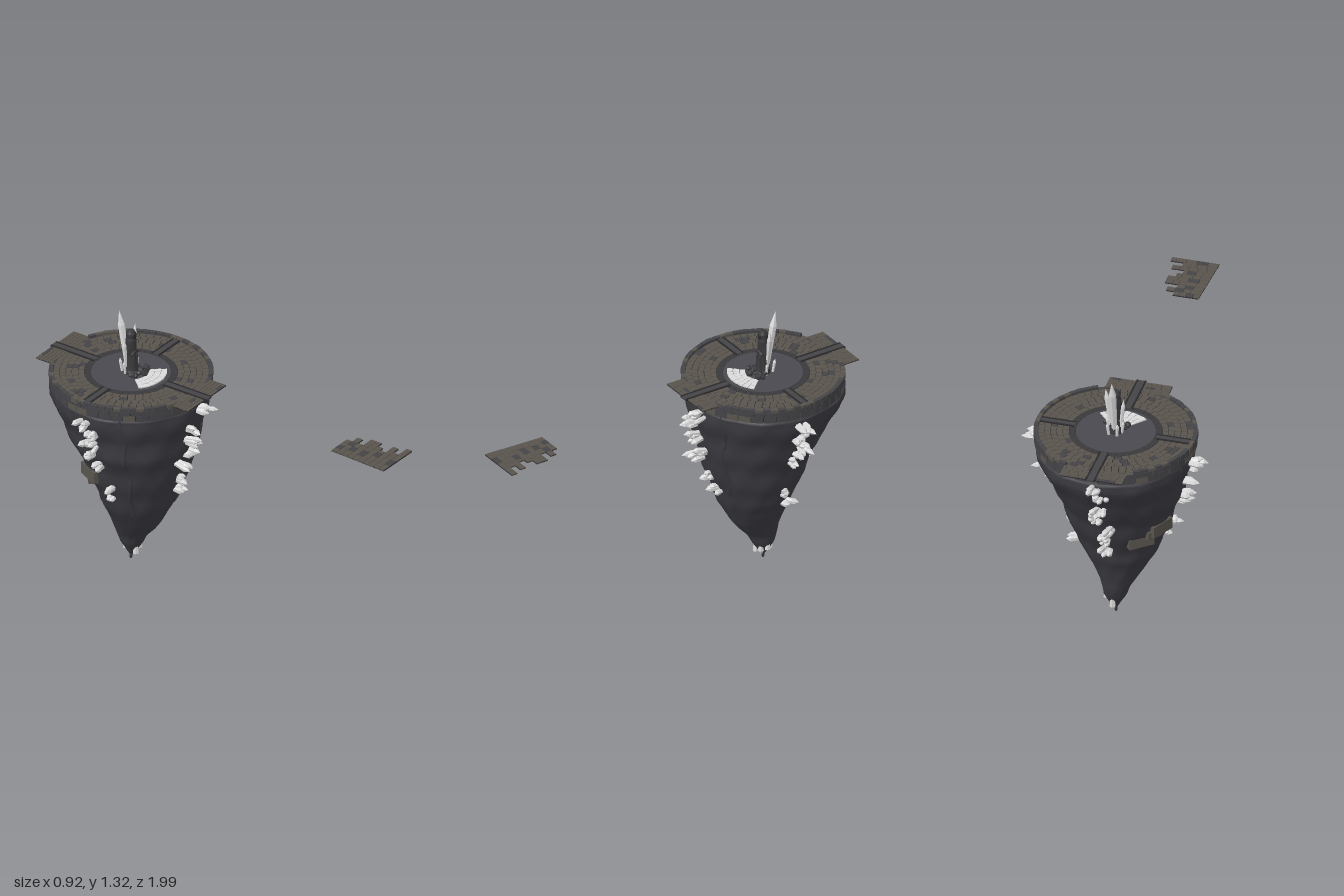
import * as THREE from 'three';
import { mergeGeometries, mergeVertices } from 'three/addons/utils/BufferGeometryUtils.js';

const mat = (name, color) => {
  const m = new THREE.MeshStandardMaterial({ color });
  m.name = name;
  return m;
};
const CX = -0.013, CZ = -0.52; // axis of the platform

export function createModel() {
  const root = new THREE.Group();
  root.name = 'floatingIsland';
  const M = {
    rock: mat('dark rock', 0x3b3a40),
    brown: mat('brown brick', 0x59544d),
    grey: mat('grey brick', 0x444347),
    mortar: mat('dark mortar', 0x2a2a2c),
    floor: mat('slate floor', 0x4a494f),
    crystal: mat('pale crystal', 0xdadada),
    statue: mat('statue stone', 0x3a3a3c),
  };
  let seed = 7;
  const rnd = (a = 0, b = 1) => {
    seed = (seed * 16807) % 2147483647;
    return a + (b - a) * (seed / 2147483647);
  };
  const add = (name, geo, m, parent = root) => {
    const mesh = new THREE.Mesh(geo, m);
    mesh.name = name;
    parent.add(mesh);
    return mesh;
  };
  const flat = (g) => {
    const n = g.index ? g.toNonIndexed() : g;
    n.computeVertexNormals();
    return n;
  };

  // collects many small pieces into one mesh per colour
  const pile = (name) => {
    const sets = {};
    return {
      put(key, g) { (sets[key] ??= []).push(flat(g)); },
      done() {
        const group = new THREE.Group();
        group.name = name;
        for (const k in sets) add(name + '_' + k, mergeGeometries(sets[k]), M[k], group);
        root.add(group);
      },
    };
  };

  // ---- tapering rock: y, centre x, radius x, centre z, radius z
  const rows = [
    [0.962, -0.01, 0.34, -0.52, 0.34], [0.948, -0.008, 0.38, -0.525, 0.384], [0.9, -0.01, 0.369, -0.525, 0.378],
    [0.8, -0.014, 0.336, -0.51, 0.34], [0.7, -0.024, 0.309, -0.49, 0.298], [0.6, -0.022, 0.268, -0.477, 0.265],
    [0.5, -0.02, 0.24, -0.475, 0.227], [0.4, -0.02, 0.2, -0.467, 0.187], [0.35, -0.025, 0.175, -0.472, 0.172],
    [0.3, -0.022, 0.152, -0.475, 0.15], [0.25, -0.022, 0.122, -0.48, 0.13], [0.2, -0.02, 0.092, -0.492, 0.103],
    [0.15, -0.014, 0.067, -0.512, 0.077], [0.1, -0.01, 0.056, -0.516, 0.056], [0.06, -0.01, 0.029, -0.518, 0.032],
    [0.03, -0.012, 0.01, -0.52, 0.01],
  ];
  const surface = (a, y, out = 0) => {
    let i = 0;
    while (i < rows.length - 2 && y < rows[i + 1][0]) i++;
    const [p, q] = [rows[i], rows[i + 1]];
    const t = (p[0] - y) / (p[0] - q[0]);
    const [, cx, rx, cz, rz] = p.map((v, k) => v + (q[k] - v) * t);
    const bump = 1 + 0.01 * Math.sin(a * 5 + y * 9) + 0.008 * Math.sin(a * 11 - y * 23)
      + 0.012 * Math.cos((y - 0.7) * 37) + 0.006 * Math.sin(a * 23 + y * 57);
    return new THREE.Vector3(cx + (rx * bump + out) * Math.sin(a), y, cz + (rz * bump + out) * Math.cos(a));
  };
  let rock = new THREE.PlaneGeometry(1, 1, 72, 64);
  const uv = rock.attributes.uv, pos = rock.attributes.position;
  for (let i = 0; i < pos.count; i++) {
    const p = surface((uv.getX(i) % 1) * Math.PI * 2, 0.03 + uv.getY(i) * 0.932);
    pos.setXYZ(i, p.x, p.y, p.z);
  }
  rock.deleteAttribute('uv');
  rock.deleteAttribute('normal');
  rock = mergeVertices(rock, 1e-5);
  rock.computeVertexNormals();
  add('rockBody', rock, M.rock);

  // raised seams running down the rock
  for (const [deg, low] of [[25, 0.32], [-62, 0.32], [-105, 0.8]]) {
    const pts = [];
    for (let y = 0.95; y > low; y -= 0.05) {
      pts.push(surface(THREE.MathUtils.degToRad(deg + 1.5 * Math.sin(y * 25)), y, -0.008));
    }
    add('rockSeam', new THREE.TubeGeometry(new THREE.CatmullRomCurve3(pts), 40, 0.014, 6), M.rock);
  }
  // hanging tip
  const tip = new THREE.SphereGeometry(0.008, 8, 8).scale(1, 2.4, 1).translate(-0.014, 0.02, CZ);
  add('hangingTip', tip, M.rock);

  // ---- platform of curved blocks
  const arcBlock = (r0, r1, a0, a1, y0, y1, steps = 2) => {
    const s = new THREE.Shape();
    const pt = (r, a) => new THREE.Vector2(r * Math.sin(a), -r * Math.cos(a));
    const list = [];
    for (let i = 0; i <= steps; i++) list.push(pt(r1, a0 + (a1 - a0) * i / steps));
    for (let i = steps; i >= 0; i--) list.push(pt(r0, a0 + (a1 - a0) * i / steps));
    s.setFromPoints(list);
    return new THREE.ExtrudeGeometry(s, { depth: y1 - y0, bevelEnabled: false })
      .rotateX(-Math.PI / 2).translate(CX, y0, CZ);
  };
  const box = (x0, x1, y0, y1, z0, z1) => new THREE.BoxGeometry(x1 - x0, y1 - y0, z1 - z0)
    .translate((x0 + x1) / 2, (y0 + y1) / 2, (z0 + z1) / 2);
  add('platformCore', new THREE.CylinderGeometry(0.38, 0.376, 0.054, 64).translate(CX, 0.981, CZ), M.mortar);
  add('innerFloor', new THREE.CylinderGeometry(0.189, 0.189, 0.008, 48).translate(CX, 1.008, CZ), M.floor);

  const paving = pile('paving');
  const ring = (set, r0, r1, n, y0, y1, key, gap = 0.002) => {
    const off = rnd(), da = Math.PI * 2 / n, g = gap / r1;
    for (let i = 0; i < n; i++) {
      const a = (i + off) * da;
      set.put(key(), arcBlock(r0, r1 + rnd(-0.001, 0.001), a + g, a + da - g, y0, y1));
    }
  };
  const mixed = (p) => () => (rnd() < p ? 'brown' : 'grey');
  ring(paving, 0.19, 0.22, 44, 1.0, 1.012, () => 'statue', 0.001);
  for (let k = 0; k < 5; k++) {
    const r = 0.222 + k * 0.029;
    ring(paving, r, r + 0.027, 40 + k * 6, 1.0, 1.012, mixed(0.9));
  }
  // rim, left lower where the bridges meet it
  for (let i = 0; i < 64; i++) {
    const a = i * Math.PI / 32, low = Math.abs(Math.sin(a)) < 0.42;
    paving.put(rnd() < 0.4 ? 'brown' : 'grey',
      arcBlock(0.367, 0.385 + rnd(0, 0.004), a + 0.004, a + Math.PI / 32 - 0.004, 1.0, low ? 1.012 : 1.024));
  }
  paving.done();

  const wall = pile('platformWall');
  ring(wall, 0.36, 0.388, 48, 0.988, 1.011, mixed(0));
  ring(wall, 0.34, 0.385, 40, 0.955, 0.986, mixed(0.15));
  wall.done();

  // crossing channels with edge strips
  const channels = pile('channels');
  for (const s of [-1, 1]) {
    const z0 = CZ + s * 0.2, z1 = CZ + s * 0.45;
    const x0 = CX + s * 0.2, x1 = CX + s * 0.387;
    channels.put('grey', box(CX - 0.022, CX + 0.022, 1.006, 1.015, Math.min(z0, z1), Math.max(z0, z1)));
    channels.put('grey', box(Math.min(x0, x1), Math.max(x0, x1), 1.005, 1.015, CZ - 0.02, CZ + 0.02));
    for (const e of [-1, 1]) {
      const xe = CX + e * 0.02, ze = CZ + e * 0.018;
      channels.put('mortar', box(xe - 0.004, xe + 0.004, 1.006, 1.017, Math.min(z0, z1), Math.max(z0, z1)));
      channels.put('mortar', box(Math.min(x0, x1), Math.max(x0, x1), 1.005, 1.017, ze - 0.004, ze + 0.004));
    }
  }
  channels.done();

  // ---- bridge stubs and the detached bridge end
  const bridge = pile('bridge');
  const brickRow = (x0, x1, z0, z1) => {
    for (let x = x0; x < x1 - 0.004;) {
      let e = Math.min(x + rnd(0.03, 0.055), x1);
      if (x1 - e < 0.015) e = x1;
      bridge.put(rnd() < 0.9 ? 'brown' : 'grey', box(x + 0.001, e - 0.001, 1.008, 1.014, z0 + 0.001, z1 - 0.001));
      x = e;
    }
    bridge.put('mortar', box(x0 + 0.001, x1 - 0.001, 1.007, 1.011, z0, z1));
  };
  for (const s of [-1, 1]) {
    for (let k = 0; k < 5; k++) {
      const z = CZ + s * (0.3605 + k * 0.018);
      brickRow(-0.168, 0.14, z - 0.009, z + 0.009);
    }
  }
  const ends = [0.05, 0.092, 0.05, 0.115, 0.115, 0.08, 0.055, 0.118, 0.075, 0.14];
  ends.forEach((x, i) => brickRow(-0.078 - i * 0.0015, x, 0.686 + i * 0.0314, 0.686 + (i + 1) * 0.0314));
  bridge.done();

  // ---- crystals
  const up = new THREE.Vector3(0, 1, 0);
  const crystals = pile('crystals');
  const crystal = (base, dir, len, rad) => {
    const g = new THREE.LatheGeometry([[0, 0], [0.8, 0], [1, 0.75], [0, 1]].map((p) => new THREE.Vector2(...p)), 6);
    g.scale(rad, len, rad).applyQuaternion(new THREE.Quaternion().setFromUnitVectors(up, dir.clone().normalize()));
    crystals.put('crystal', g.translate(base.x, base.y, base.z));
  };
  const cluster = (a, y, len) => {
    const out = new THREE.Vector3(Math.sin(a), 0, Math.cos(a));
    for (let i = 0; i < 5; i++) {
      const base = surface(a + rnd(-0.018, 0.018) / 0.25, y + rnd(-0.014, 0.014), -0.02);
      const dir = out.clone().add(new THREE.Vector3(rnd(-0.25, 0.25), rnd(-0.15, 0.25), rnd(-0.25, 0.25)));
      crystal(base, dir, (len + 0.025) * (i ? rnd(0.6, 0.9) : 1), rnd(0.012, 0.018));
    }
  };
  // each column: angle, then height, length, sideways shift in radians
  const columns = [
    [0, [[0.92, 0.08, 0.09], [0.84, 0.08, -0.08], [0.76, 0.09, -0.05], [0.685, 0.07, 0.04], [0.64, 0.09, -0.15], [0.535, 0.06, 0.02], [0.465, 0.07, 0.07]]],
    [Math.PI / 2, [[0.905, 0.09, -0.1], [0.83, 0.06, -0.05], [0.775, 0.09, 0], [0.72, 0.07, 0.03], [0.68, 0.06, 0], [0.47, 0.03, 0.1], [0.395, 0.06, 0.3]]],
    [Math.PI, [[0.92, 0.09, 0], [0.86, 0.05, 0.08], [0.75, 0.09, 0], [0.68, 0.06, -0.1], [0.6, 0.11, 0.1], [0.54, 0.06, 0], [0.45, 0.1, 0]]],
    [-Math.PI / 2, [[0.9, 0.08, 0], [0.85, 0.06, 0.1], [0.78, 0.08, 0], [0.72, 0.07, -0.1], [0.66, 0.08, 0], [0.52, 0.06, 0.1], [0.46, 0.04, 0]]],
  ];
  for (const [a, list] of columns) for (const [y, len, shift] of list) cluster(a + shift, y, len);
  // hanging at the bottom
  for (const [x, y, z, len] of [[0.012, 0.125, -0.49, 0.085], [0.03, 0.115, -0.515, 0.06], [-0.022, 0.09, -0.485, 0.06], [-0.008, 0.105, -0.555, 0.075]]) {
    crystal(new THREE.Vector3(x, y, z), new THREE.Vector3((x - CX) * 0.2, -0.1, 0), len, 0.015);
  }
  // around the statue
  crystal(new THREE.Vector3(-0.012, 1.02, -0.535), new THREE.Vector3(0, 0.3, -0.055), 0.307, 0.018);
  crystal(new THREE.Vector3(0.005, 1.05, -0.53), new THREE.Vector3(0.03, 0.2, 0), 0.2, 0.013);
  crystal(new THREE.Vector3(-0.04, 1.05, -0.53), new THREE.Vector3(-0.015, 0.15, 0), 0.15, 0.01);
  for (const [x, z] of [[0.022, -0.515], [-0.045, -0.53], [0.01, -0.56], [-0.03, -0.56]]) {
    crystal(new THREE.Vector3(x, 1.012, z), new THREE.Vector3((x - CX) * 0.5, 0.12, (z - CZ) * 0.4), 0.07, 0.008);
  }
  // fan of pale tiles before the statue
  for (let k = 0; k < 3; k++) {
    for (let i = 0; i < 8; i++) {
      const a = -0.74 + i * 0.185, r = 0.085 + k * 0.029;
      crystals.put('crystal', arcBlock(r, r + 0.027, a + 0.008, a + 0.177, 1.008, 1.016 + rnd(0, 0.003)));
    }
  }
  crystals.done();

  // ---- hooded statue
  const statue = pile('hoodedStatue');
  const robe = [[0.036, 1.012], [0.03, 1.05], [0.026, 1.1], [0.026, 1.15], [0.027, 1.185], [0.023, 1.2], [0.024, 1.22], [0.016, 1.236], [0, 1.24]];
  statue.put('statue', new THREE.LatheGeometry(robe.map((p) => new THREE.Vector2(...p)), 12).translate(CX, 0, CZ));
  statue.put('mortar', new THREE.SphereGeometry(0.014, 8, 6).scale(1, 1.2, 0.5).translate(CX, 1.213, CZ + 0.021));
  for (const s of [-1, 1]) {
    statue.put('statue', new THREE.CapsuleGeometry(0.008, 0.055, 3, 8).rotateZ(s * 0.12).translate(CX + s * 0.022, 1.15, CZ + 0.004));
    statue.put('statue', new THREE.CapsuleGeometry(0.007, 0.02, 3, 8).rotateZ(s * 1.1).translate(CX + s * 0.012, 1.125, CZ + 0.022));
    statue.put('statue', new THREE.CylinderGeometry(0.005, 0.009, 0.1, 6).translate(CX + s * 0.013, 1.06, CZ + 0.024));
  }
  // rubble at the foot
  for (let i = 0; i < 18; i++) {
    const a = rnd(-1.3, 1.3), r = rnd(0.04, 0.09);
    statue.put('statue', new THREE.DodecahedronGeometry(rnd(0.009, 0.017)).rotateY(rnd(0, 3))
      .translate(CX + r * 0.8 * Math.sin(a), 1.026, CZ + r * Math.cos(a)));
  }
  statue.done();

  // ---- broken masonry lodged in the back left of the rock
  const masonry = new THREE.Group();
  masonry.name = 'lodgedMasonry';
  for (const [deg, y, w, h] of [[-140, 0.495, 0.13, 0.05], [-116, 0.555, 0.13, 0.06], [-126, 0.535, 0.08, 0.04]]) {
    const a = THREE.MathUtils.degToRad(deg);
    const slab = add('masonrySlab', new THREE.BoxGeometry(w, h, 0.04), M.brown, masonry);
    slab.position.copy(surface(a, y, -0.008));
    slab.rotation.y = a;
  }
  root.add(masonry);
  return root;
}
